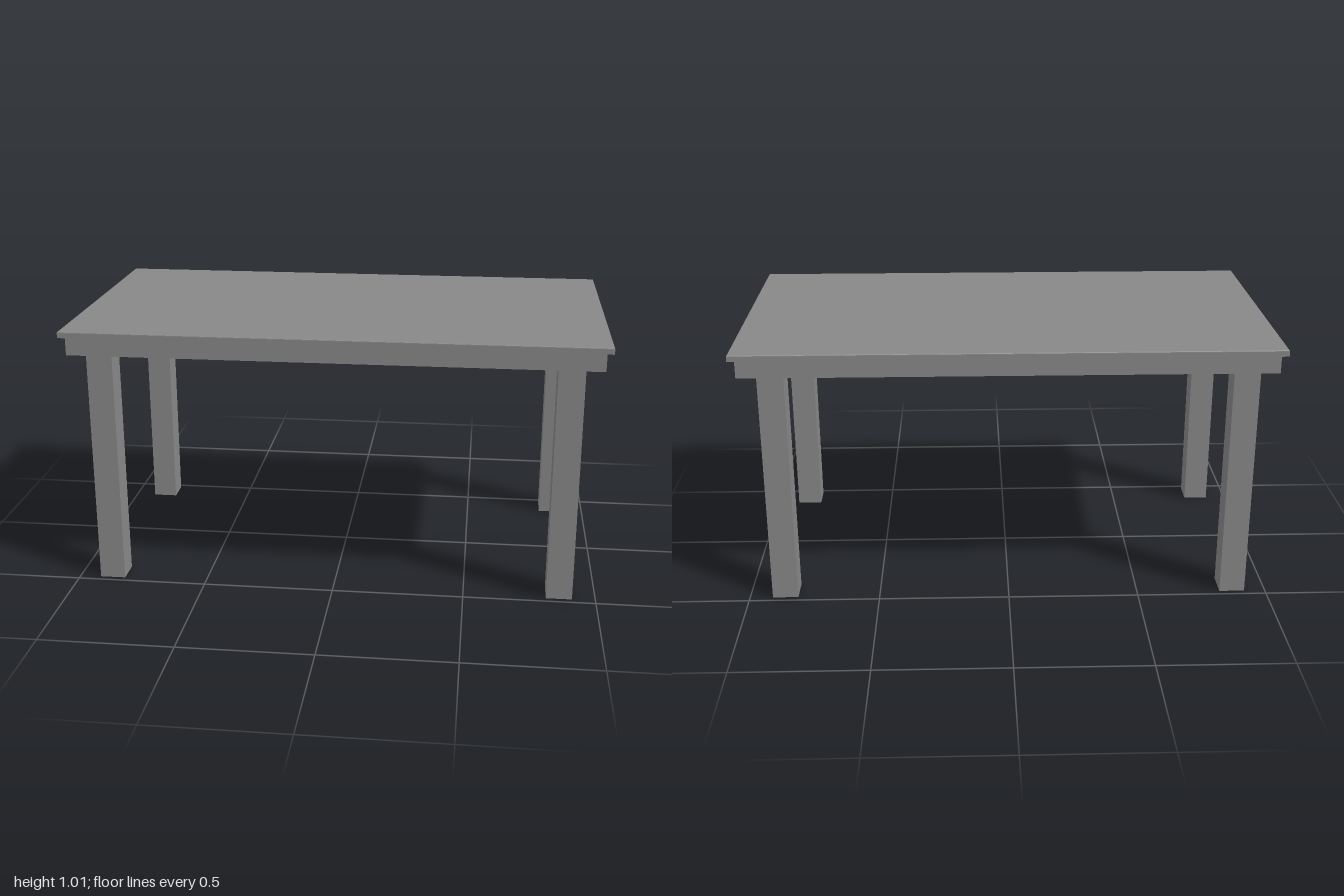
import * as THREE from 'three';

const material = new THREE.MeshStandardMaterial({ color: 0x878787, flatShading: true });

// Box given by its limits on each axis
function block(name, [x0, x1], [y0, y1], [z0, z1], heightSegments = 1) {
  const geometry = new THREE.BoxGeometry(x1 - x0, y1 - y0, z1 - z0, 1, heightSegments, 1);
  geometry.translate((x0 + x1) / 2, (y0 + y1) / 2, (z0 + z1) / 2);
  const mesh = new THREE.Mesh(geometry, material);
  mesh.name = name;
  return mesh;
}

// Tabletop whose upper edge is softly rounded
function tabletop() {
  const bottom = 0.986, top = 1.01, radius = 0.005, steps = 4;
  const mesh = block('tabletop', [-1, 1], [bottom, top], [-0.545, 0.545], steps + 1);
  const p = mesh.geometry.attributes.position;
  for (let i = 0; i < p.count; i++) {
    const row = Math.round((p.getY(i) - bottom) / (top - bottom) * (steps + 1));
    if (row === 0) continue;
    const angle = (row - 1) / steps * Math.PI / 2;
    const inset = radius * (1 - Math.cos(angle));
    p.setXYZ(
      i,
      p.getX(i) - Math.sign(p.getX(i)) * inset,
      top - radius * (1 - Math.sin(angle)),
      p.getZ(i) - Math.sign(p.getZ(i)) * inset
    );
  }
  mesh.geometry.computeVertexNormals();
  return mesh;
}

export function createModel() {
  const table = new THREE.Group();
  table.name = 'table';
  table.add(tabletop());

  // Solid apron slab under the top
  table.add(block('apron', [-0.978, 0.977], [0.916, 0.986], [-0.524, 0.525]));

  // Four square legs
  for (const [side, x] of [['Left', [0.814, 0.912]], ['Right', [-0.919, -0.822]]]) {
    for (const [end, z] of [['front', [0.377, 0.476]], ['back', [-0.477, -0.376]]]) {
      table.add(block(`${end}${side}Leg`, x, [0, 0.916], z));
    }
  }
  return table;
}
